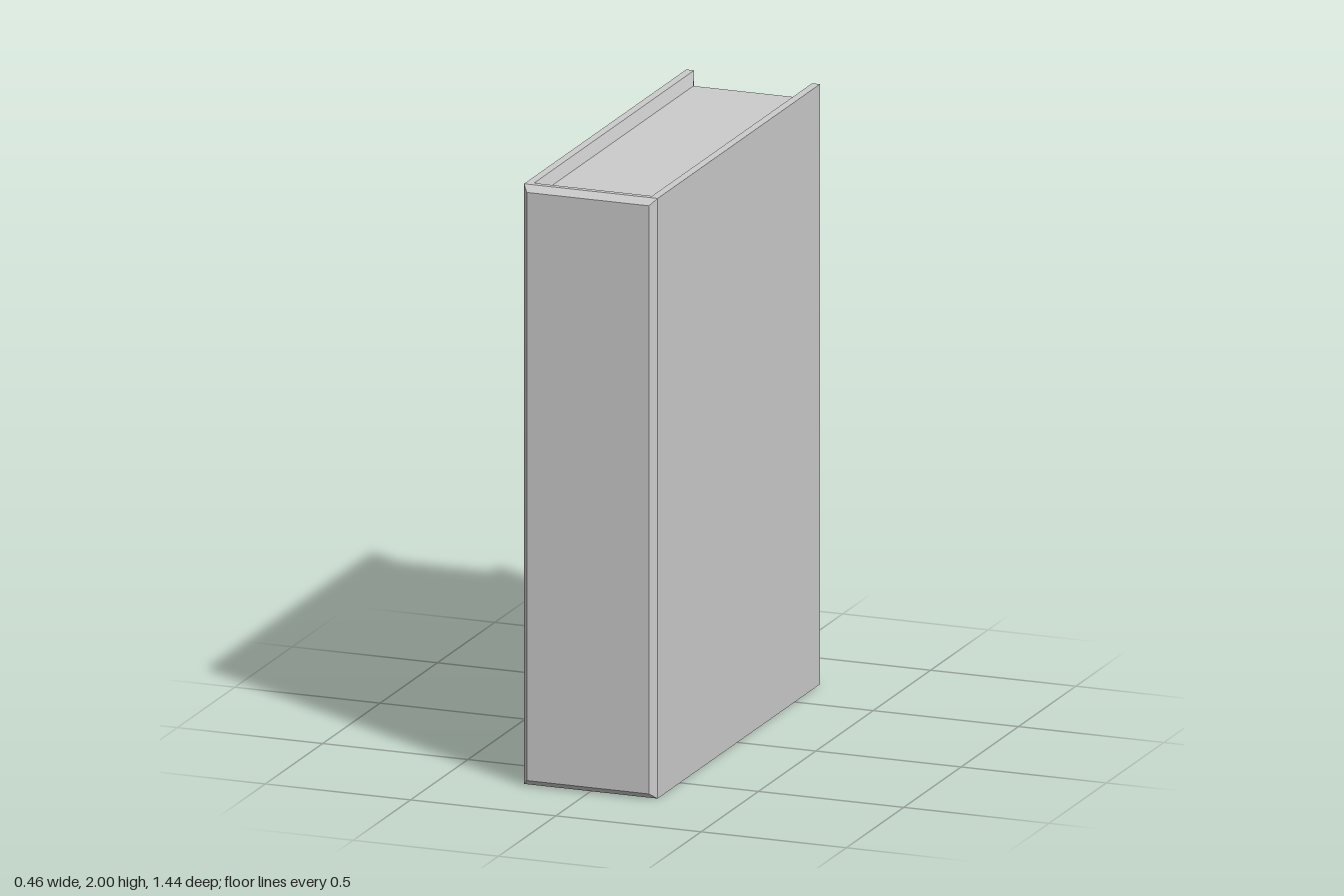
import * as THREE from 'three';

const material = new THREE.MeshStandardMaterial({ color: 0xcccccc, flatShading: true });

// Solid lofted through rectangles [u0, u1, v0, v1, w], with w rising; place maps (u, v, w) to [x, y, z].
function loftRectangles(rings, place) {
  const corners = rings.map(([u0, u1, v0, v1, w]) =>
    [[u0, v0], [u1, v0], [u1, v1], [u0, v1]].map(([u, v]) => place(u, v, w)));
  const positions = [];
  const quad = (a, b, c, d) => positions.push(...a, ...b, ...c, ...a, ...c, ...d);
  for (let r = 0; r < corners.length - 1; r++) {
    for (let i = 0; i < 4; i++) {
      const j = (i + 1) % 4;
      quad(corners[r][i], corners[r][j], corners[r + 1][j], corners[r + 1][i]);
    }
  }
  const first = corners[0], last = corners[corners.length - 1];
  quad(first[3], first[2], first[1], first[0]);
  quad(...last);
  const geometry = new THREE.BufferGeometry();
  geometry.setAttribute('position', new THREE.Float32BufferAttribute(positions, 3));
  geometry.computeVertexNormals();
  return geometry;
}

export function createModel() {
  const book = new THREE.Group();
  book.name = 'book';
  const add = (name, geometry) => {
    const mesh = new THREE.Mesh(geometry, material);
    mesh.name = name;
    book.add(mesh);
    return mesh;
  };

  const height = 2, recess = 0.04;
  const outerX = 0.23, rimX = 0.203, pageX = 0.19;
  const backZ = -0.72, frontZ = 0.72, rimZ = 0.675, pageZ = 0.665;

  // Cover boards, their inner edges sloping in to the page block
  const inset = [recess, height - recess, backZ + recess, pageZ];
  const full = [0, height, backZ, rimZ];
  const alongX = (u, v, w) => [w, u, v];
  add('leftCover', loftRectangles(
    [[...inset, pageX], [...full, rimX], [...full, outerX]], alongX));
  add('rightCover', loftRectangles(
    [[...full, -outerX], [...full, -rimX], [...inset, -pageX]], alongX));

  // Spine with chamfered outer edges
  const chamfer = 0.02;
  add('spine', loftRectangles([
    [-pageX, pageX, recess, height - recess, pageZ],
    [-rimX, rimX, 0, height, rimZ],
    [-outerX, outerX, 0, height, rimZ],
    [-outerX, outerX, 0, height, 0.695],
    [-outerX + chamfer, outerX - chamfer, chamfer, height - chamfer, frontZ],
  ], (u, v, w) => [u, v, w]));

  // Page block, set back from the cover on three sides
  const pageDepth = pageZ - (backZ + recess);
  const pages = add('pages', new THREE.BoxGeometry(2 * pageX, height - 2 * recess, pageDepth));
  pages.position.set(0, height / 2, pageZ - pageDepth / 2);

  return book;
}
